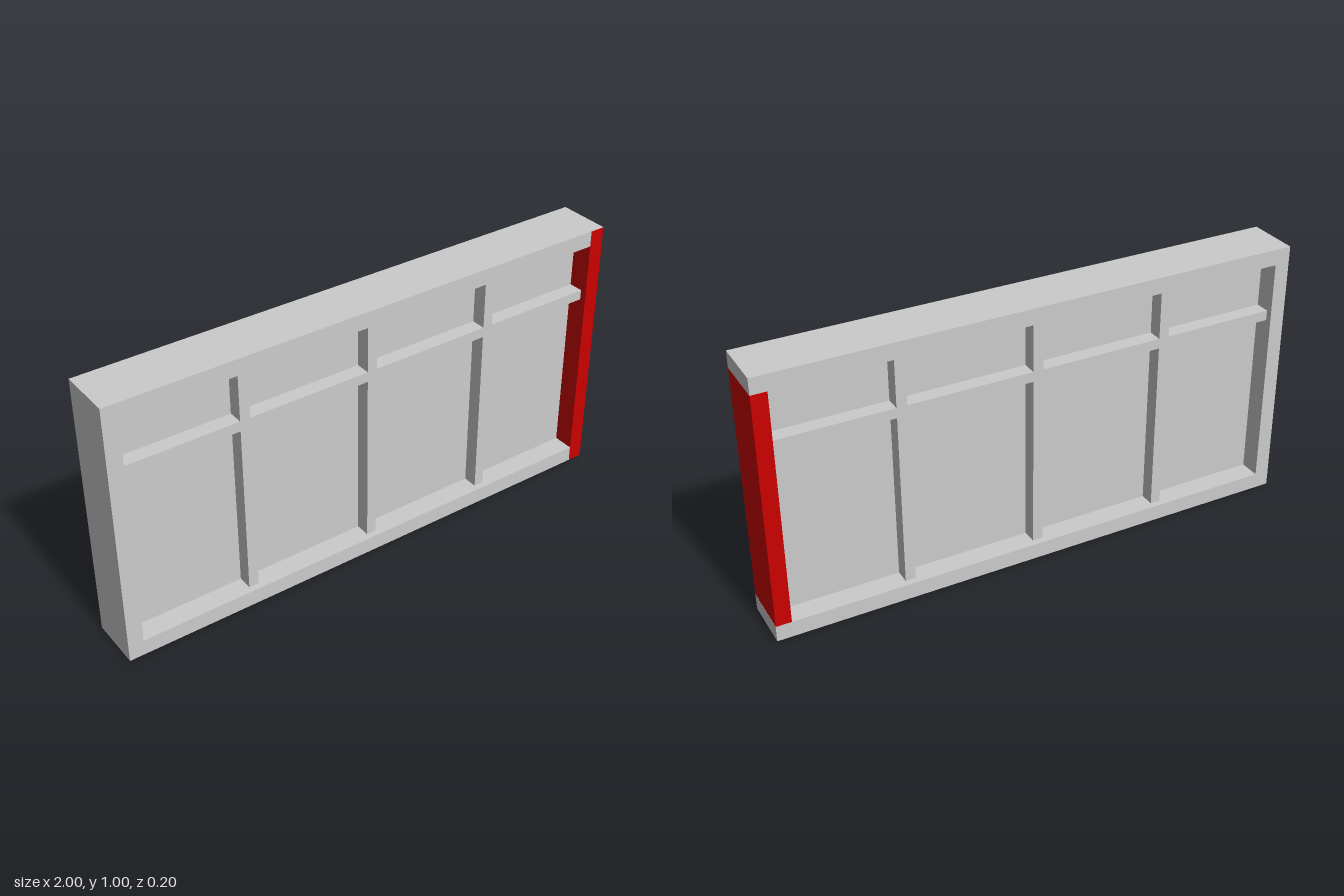
import * as THREE from 'three';

const grey = new THREE.MeshStandardMaterial({ color: 0xcccccc, flatShading: true });
const red = new THREE.MeshStandardMaterial({ color: 0xcc0000, flatShading: true });

// Box given by its extents on each axis
function box(name, [x0, x1], [y0, y1], [z0, z1], material = grey) {
  const mesh = new THREE.Mesh(new THREE.BoxGeometry(x1 - x0, y1 - y0, z1 - z0), material);
  mesh.position.set((x0 + x1) / 2, (y0 + y1) / 2, (z0 + z1) / 2);
  mesh.name = name;
  return mesh;
}

export function createModel() {
  const group = new THREE.Group();
  group.name = 'framedPanel';
  const W = 0.06, D = 0.1;      // frame width and half depth
  const bar = 0.019;            // half width of the glazing bars
  const barZ = [-0.076, 0.076];
  const e = 0.0005;             // keeps the red post clear of coplanar faces

  // Outer frame: long rails, plain left-hand stile
  group.add(
    box('bottomRail', [-1, 1], [0, W], [-D, D]),
    box('topRail', [-1, 1], [1 - W, 1], [-D, D]),
    box('stile', [-1, -1 + W - 0.003], [W, 1 - W], [-D, D]),
  );

  // Coloured post, covering the rail ends on the front only
  group.add(box('redPost', [1 - W + 0.003, 1 - e], [e, 1 - e], [-D + e, D + e], red));

  // Infill panel in the middle of the depth
  group.add(box('panel', [-0.97, 0.97], [0.03, 0.97], [-0.02, 0.02]));

  // Bars standing proud of the panel on both sides
  for (const x of [-0.5, 0, 0.5]) {
    group.add(box('verticalBar', [x - bar, x + bar], [0.03, 0.97], barZ));
  }
  group.add(box('crossBar', [-0.97, 0.97], [0.713, 0.751], barZ));

  return group;
}
